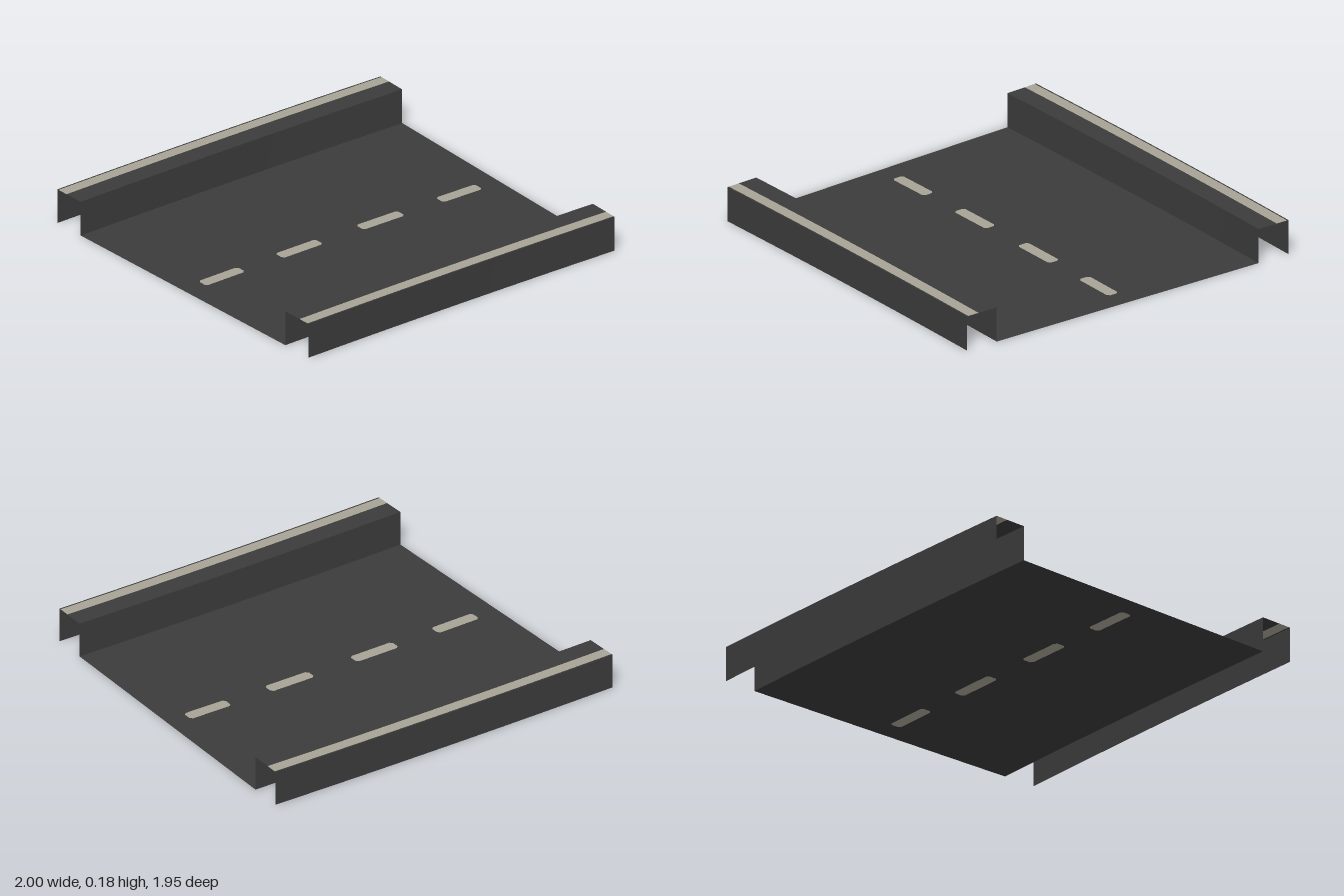
import * as THREE from 'three';

const STEPS = 16, HEIGHT = 0.182;
const INNER = 0.78, STRIPE_IN = 0.888, STRIPE_OUT = 0.95, OUTER = 0.958;

// Gently bending road: u runs along it (0..1), v across it (+v to the front)
function roadPoint(u, v) {
  const tilt = 0.055 * u * u;
  const x = -1 + 1.945 * u - v * Math.sin(tilt);
  const z = -0.022 + 0.034 * Math.pow(u, 2.15) + v * Math.cos(tilt);
  return new THREE.Vector2(x, -z);
}

// Outline of a band between two v values
function bandOutline(v0, v1) {
  const points = [];
  for (let i = 0; i <= STEPS; i++) points.push(roadPoint(i / STEPS, v1));
  for (let i = STEPS; i >= 0; i--) points.push(roadPoint(i / STEPS, v0));
  return points;
}

// Dash outline with clipped corners
function dashOutline(x0, x1) {
  const half = 0.032, cut = 0.013;
  const corners = [
    [x0 + cut, half], [x1 - cut, half], [x1, half - cut], [x1, cut - half],
    [x1 - cut, -half], [x0 + cut, -half], [x0, cut - half], [x0, half - cut],
  ];
  return corners.map(([x, v]) => roadPoint((x + 1) / 1.945, v));
}

// Horizontal sheet from an outline
function sheet(name, outline, y, material, holes = []) {
  const shape = new THREE.Shape(outline);
  holes.forEach((h) => shape.holes.push(new THREE.Path(h)));
  const geometry = new THREE.ShapeGeometry(shape);
  geometry.rotateX(-Math.PI / 2).translate(0, y, 0);
  const mesh = new THREE.Mesh(geometry, material);
  mesh.name = name;
  return mesh;
}

// Upright sheet that follows the bend at a given v; its face points along +v or -v
function wall(name, v, facing, material) {
  const geometry = new THREE.PlaneGeometry(1, 1, STEPS, 1);
  const pos = geometry.attributes.position;
  for (let i = 0; i < pos.count; i++) {
    const along = (pos.getX(i) + 0.5);
    const p = roadPoint(facing > 0 ? along : 1 - along, v);
    pos.setXYZ(i, p.x, (pos.getY(i) + 0.5) * HEIGHT, -p.y);
  }
  geometry.computeVertexNormals();
  const mesh = new THREE.Mesh(geometry, material);
  mesh.name = name;
  return mesh;
}

export function createModel() {
  const asphalt = new THREE.MeshStandardMaterial({ name: 'asphalt grey', color: 0x3b3b3b, side: THREE.DoubleSide });
  const paint = new THREE.MeshStandardMaterial({ name: 'pale road paint', color: 0xa7a395, side: THREE.DoubleSide });

  const model = new THREE.Group();
  model.name = 'roadSection';

  // Road surface with the centre dashes set into it
  const dashes = [[-0.88, -0.635], [-0.4, -0.15], [0.1, 0.355], [0.59, 0.83]].map(([a, b]) => dashOutline(a, b));
  model.add(sheet('roadSurface', bandOutline(-INNER, INNER), 0, asphalt, dashes));
  dashes.forEach((d) => model.add(sheet('centreDash', d, 0, paint)));

  // Raised hollow kerbs along both sides
  for (const side of [1, -1]) {
    const kerb = new THREE.Group();
    kerb.name = side > 0 ? 'frontKerb' : 'backKerb';
    kerb.add(
      wall('innerWall', side * INNER, -side, asphalt),
      wall('outerWall', side * OUTER, side, asphalt),
    );
    const bands = [
      ['kerbTop', INNER, STRIPE_IN, asphalt],
      ['kerbStripe', STRIPE_IN, STRIPE_OUT, paint],
      ['kerbEdge', STRIPE_OUT, OUTER, asphalt],
    ];
    for (const [name, a, b, material] of bands) {
      kerb.add(sheet(name, bandOutline(side * a, side * b), HEIGHT, material));
    }
    model.add(kerb);
  }
  return model;
}
